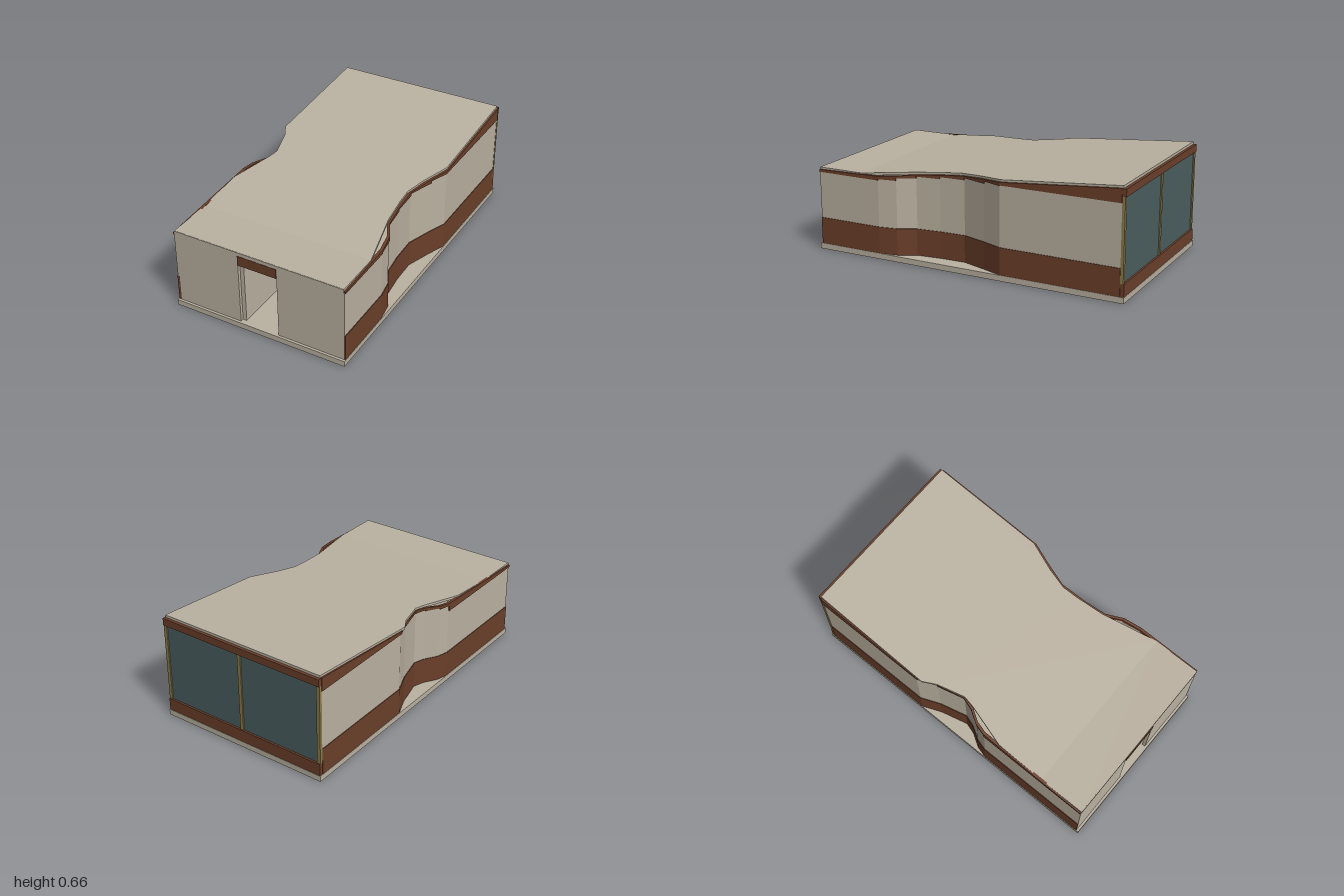
import * as THREE from 'three';

const mat = (name, color, double) => {
  const m = new THREE.MeshStandardMaterial({ color });
  m.name = name;
  if (double) m.side = THREE.DoubleSide;
  return m;
};

// Roof underside: flat at the front, rising to the back
const FOLD = 0.69, THICK = 0.016;
const underside = (z) => 0.499 + Math.max(0, FOLD - z) * 0.0871;

export function createModel() {
  const plaster = mat('plaster', 0xbbb2a1);
  const timber = mat('dark timber', 0x6b3f2a);
  const glass = mat('glass', 0x4c5f60, true);
  const frame = mat('tan frame', 0x8d7a4c);
  const house = new THREE.Group();
  house.name = 'house';

  const add = (name, geometry, material, parent = house) => {
    const m = new THREE.Mesh(geometry, material);
    m.name = name;
    parent.add(m);
    return m;
  };
  // Box given by its limits
  const block = (name, material, x0, x1, y0, y1, z0, z1) => {
    const g = new THREE.BoxGeometry(x1 - x0, y1 - y0, z1 - z0);
    g.translate((x0 + x1) / 2, (y0 + y1) / 2, (z0 + z1) / 2);
    return add(name, g, material);
  };

  // Floor slab
  block('floorSlab', plaster, -0.555, 0.555, 0, 0.035, -1, 1);

  // Front wall with doorway
  for (const s of [-1, 1]) {
    const a = s * 0.125, b = s * 0.545;
    block('frontWall', plaster, Math.min(a, b), Math.max(a, b), 0.035, 0.492, 0.965, 0.985);
  }
  block('doorLintel', timber, -0.125, 0.125, 0.43, 0.492, 0.965, 0.99);

  // Interior partitions, counter and low box seen through the doorway
  block('hallWall', plaster, -0.125, -0.1, 0.035, 0.43, 0.55, 0.965);
  block('innerWall', plaster, -0.1, -0.09, 0.035, 0.39, 0.1, 0.55);
  block('counter', plaster, -0.09, -0.013, 0.035, 0.283, 0.0, 0.35);
  block('counterTop', timber, -0.09, -0.013, 0.283, 0.29, 0.0, 0.35);
  block('lowBox', timber, 0.097, 0.18, 0.035, 0.12, 0.1, 0.4);

  // Back window wall
  block('backSill', timber, -0.55, 0.55, 0.035, 0.11, -0.998, -0.975);
  block('backFascia', timber, -0.55, 0.55, 0.6, 0.645, -0.998, -0.972);
  block('backWindow', glass, -0.54, 0.54, 0.11, 0.6, -0.986, -0.982);
  for (const x of [-0.54, 0, 0.54]) {
    block('windowPost', frame, x - 0.011, x + 0.011, 0.11, 0.6, -0.993, -0.975);
  }

  // One straight wall piece between plan points p and q; top(z) gives its upper edge
  const wallPiece = (name, material, group, p, q, out, y0, top) => {
    const g = new THREE.BoxGeometry(1, 1, 1);
    const a = g.attributes.position;
    for (let i = 0; i < a.count; i++) {
      const [x, z] = a.getZ(i) > 0 ? p : q;
      const side = Math.sign(x);
      const outer = a.getX(i) * side > 0;
      a.setXYZ(i, x + side * (outer ? out : -0.012), a.getY(i) > 0 ? top(z) : y0, z);
    }
    g.computeVertexNormals();
    add(name, g, material, group);
  };

  // Curved side walls: x, z of each corner and height of the plaster up to the next
  const left = [
    [0.549, 0.985, 0.487], [0.549, 0.57, 0.495], [0.53, 0.455, 0.508], [0.475, 0.35, 0.523],
    [0.458, 0.2, 0.538], [0.453, 0.04, 0.55], [0.505, -0.12, 0.562], [0.549, -0.24, 0.565],
    [0.549, -0.975, 0.565],
  ];
  const right = [
    [-0.549, 0.985, 0.487], [-0.549, 0.27, 0.522], [-0.53, 0.2, 0.53], [-0.48, 0.12, 0.538],
    [-0.458, 0.05, 0.55], [-0.5, -0.12, 0.562], [-0.549, -0.24, 0.565], [-0.549, -0.975, 0.565],
  ];
  for (const [name, path] of [['leftWall', left], ['rightWall', right]]) {
    const wall = new THREE.Group();
    wall.name = name;
    house.add(wall);
    for (let i = 0; i < path.length - 1; i++) {
      const p = path[i], q = path[i + 1];
      const h = Math.min(p[2], underside(p[1]) - 0.008);
      wallPiece('lowerCladding', timber, wall, p, q, 0.004, 0.035, () => 0.2);
      wallPiece('plasterBand', plaster, wall, p, q, 0, 0.2, () => h);
      wallPiece('upperFascia', timber, wall, p, q, 0.006, h, (z) => underside(z) + 0.003);
    }
  }

  // Roof: plan outline extruded upward, then lifted along the slope
  const roofPart = (name, outline) => {
    const shape = new THREE.Shape(outline.map(([x, z]) => new THREE.Vector2(x, -z)));
    const g = new THREE.ExtrudeGeometry(shape, { depth: THICK, bevelEnabled: false });
    g.rotateX(-Math.PI / 2);
    const a = g.attributes.position;
    for (let i = 0; i < a.count; i++) a.setY(i, a.getY(i) + underside(a.getZ(i)));
    g.computeVertexNormals();
    add(name, g, plaster);
  };
  roofPart('flatRoof', [[-0.545, 0.985], [0.545, 0.985], [0.545, FOLD], [-0.545, FOLD]]);
  roofPart('slopedRoof', [
    [0.545, FOLD], [0.465, 0.34], [0.447, 0.16], [0.443, 0.06], [0.478, -0.07], [0.545, -0.25],
    [0.545, -0.98], [-0.545, -0.98], [-0.55, -0.2], [-0.505, -0.12], [-0.457, 0.05], [-0.47, 0.12],
    [-0.545, 0.38], [-0.545, FOLD],
  ]);
  block('roofFrontEdge', plaster, -0.545, 0.545, 0.492, 0.514, 0.975, 0.988);

  return house;
}
